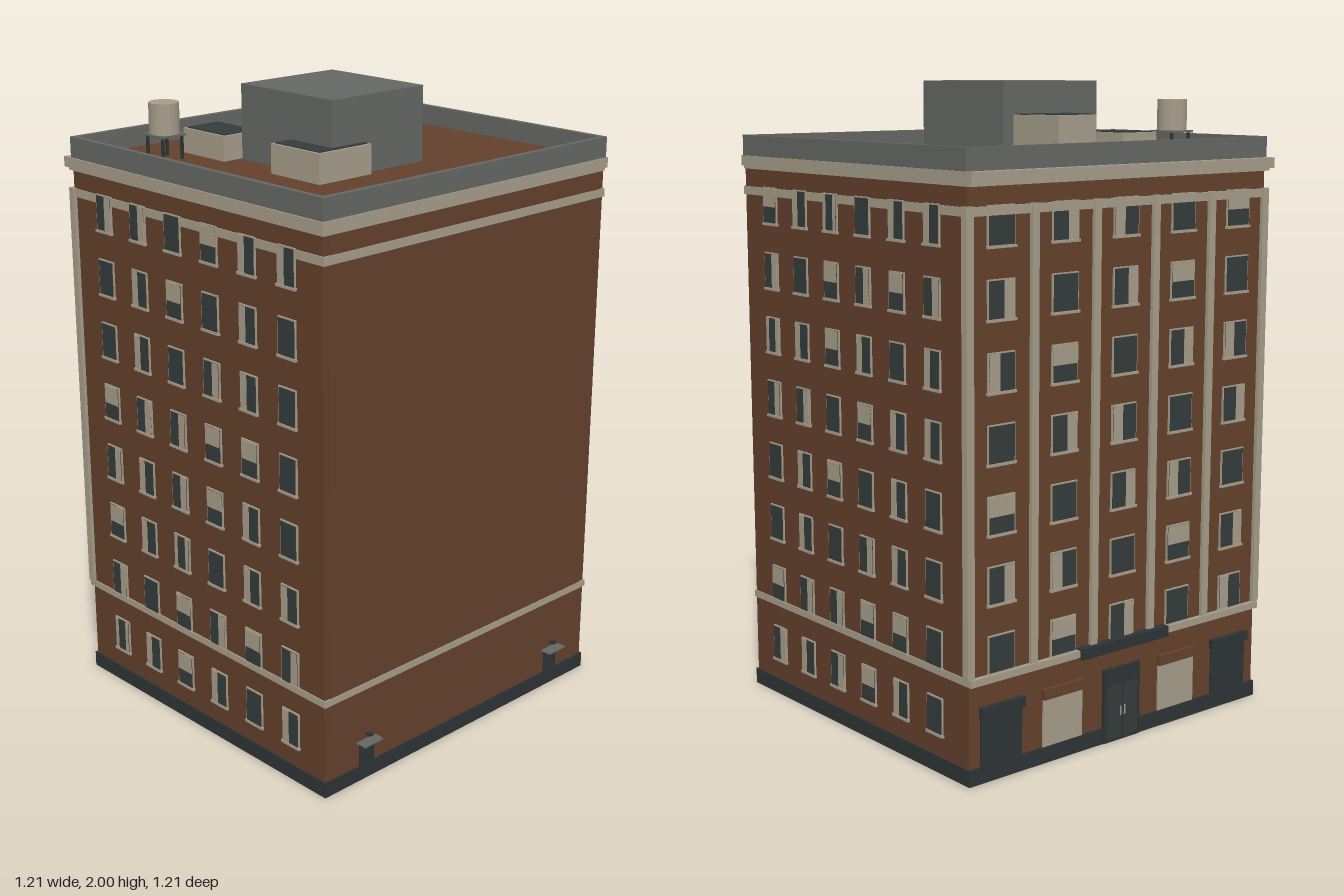
import * as THREE from 'three';

const mat = (name, color) => {
  const m = new THREE.MeshStandardMaterial({ color });
  m.name = name;
  return m;
};

export function createModel() {
  const brick = mat('brick', 0x63402b);
  const stone = mat('stone', 0xa59c89);
  const glass = mat('darkGlass', 0x343b3c);
  const grey = mat('roofGrey', 0x646764);
  const dark = mat('darkBase', 0x2d3435);

  const model = new THREE.Group();
  model.name = 'apartmentBlock';

  // box given by its min and max on each axis
  const box = (parent, name, m, x0, x1, y0, y1, z0, z1) => {
    const mesh = new THREE.Mesh(new THREE.BoxGeometry(x1 - x0, y1 - y0, z1 - z0), m);
    mesh.position.set((x0 + x1) / 2, (y0 + y1) / 2, (z0 + z1) / 2);
    mesh.name = name;
    parent.add(mesh);
    return mesh;
  };
  const group = (name, parent = model) => {
    const g = new THREE.Group();
    g.name = name;
    parent.add(g);
    return g;
  };

  // main mass
  const ROOF = 1.767;
  box(model, 'base', dark, -0.6, 0.6, 0, 0.05, -0.58, 0.57);
  box(model, 'walls', brick, -0.595, 0.595, 0.05, 1.75, -0.572, 0.563);
  box(model, 'frontWallPanel', brick, -0.575, 0.575, 0.05, 1.735, 0.56, 0.566);
  box(model, 'lowerBelt', stone, -0.599, 0.599, 0.302, 0.324, -0.588, 0.569);
  box(model, 'upperBelt', stone, -0.599, 0.599, 1.642, 1.668, -0.58, 0.569);
  box(model, 'cornice', stone, -0.605, 0.605, 1.733, 1.765, -0.605, 0.571);
  box(model, 'corniceBed', stone, -0.599, 0.599, 1.724, 1.733, -0.59, 0.567);
  box(model, 'roofDeck', brick, -0.59, 0.59, 1.76, ROOF, -0.565, 0.56);

  // parapet
  const parapet = group('parapet');
  for (const s of [-1, 1]) {
    const x = s * 0.591;
    box(parapet, 'parapetSide', grey, x - 0.009, x + 0.009, 1.765, 1.83, -0.575, 0.567);
  }
  box(parapet, 'parapetBack', grey, -0.582, 0.582, 1.765, 1.83, -0.575, -0.557);
  box(parapet, 'parapetFront', grey, -0.582, 0.582, 1.765, 1.83, 0.549, 0.567);

  // one window facing local +z, w = wall plane; kind tells which part the blind covers
  const addWindow = (parent, u, y, w, width, kind) => {
    const g = group('window', parent);
    const h = 0.116, a = width / 2, t = 0.004;
    box(g, 'frame', stone, u - a, u + a, y, y + h, w - 0.005, w + 0.005);
    box(g, 'sill', stone, u - a - 0.003, u + a + 0.003, y - 0.004, y + 0.004, w - 0.005, w + 0.009);
    box(g, 'pane', glass, u - a + t, u + a - t, y + 0.005, y + h - t, w, w + 0.007);
    const blind = (x0, x1, y0) => box(g, 'blind', stone, x0, x1, y0, y + h - t, w, w + 0.008);
    if (kind === 'T') blind(u - a + t, u + a - t, y + 0.055);
    if (kind === 'L' || kind === 'B') blind(u - a + t, u - a + width * (kind === 'B' ? 0.25 : 0.42), y + 0.005);
    if (kind === 'R' || kind === 'B') blind(u + a - width * (kind === 'B' ? 0.25 : 0.42), u + a - t, y + 0.005);
  };
  const rowY = (i) => 0.117 + 0.2054 * i;

  // side windows, rows from top to bottom
  const sideRows = ['TLBDLL', 'RDTRTR', 'BLTLDL', 'RRDTLL', 'DLTDLD', 'DLDRLD', 'TRRTTD', 'RLRTLD'];
  for (const s of [1, -1]) {
    const side = group(s > 0 ? 'leftWindows' : 'rightWindows');
    side.rotation.y = s * Math.PI / 2;
    sideRows.forEach((row, r) => {
      for (let c = 0; c < 6; c++) {
        const kind = s > 0 ? row[c] : sideRows[(r + 3) % 8][c];
        addWindow(side, -0.417 + c * 0.1668, rowY(7 - r), 0.595, 0.074, kind);
      }
    });
  }

  // back facade, built facing local +z and turned round
  const back = group('backFacade');
  back.rotation.y = Math.PI;
  const backRows = ['DRLDT', 'RDRTD', 'LTDRL', 'DRLDR', 'TDRLD', 'RLDTR', 'DTRDL'];
  backRows.forEach((row, r) => {
    for (let c = 0; c < 5; c++) addWindow(back, (c - 2) * 0.238, rowY(7 - r), 0.572, 0.1, row[c]);
  });
  for (let i = 0; i < 6; i++) {
    const x = (i - 2.5) * 0.2375;
    box(back, 'pilaster', stone, x - 0.013, x + 0.013, 0.324, 1.67, 0.56, 0.584);
  }
  // ground floor shops and entrance
  [dark, stone, null, stone, dark].forEach((m, i) => {
    const x = (i - 2) * 0.238;
    if (!m) return;
    box(back, 'shopFront', m, x - 0.078, x + 0.078, 0.05, 0.205, 0.56, 0.577);
    box(back, 'shutterBox', m === stone ? brick : dark, x - 0.082, x + 0.082, 0.2, 0.232, 0.56, 0.588);
  });
  box(back, 'entrance', dark, -0.075, 0.075, 0.0, 0.235, 0.56, 0.583);
  for (const s of [-1, 1]) {
    box(back, 'doorLeaf', glass, s * 0.034 - 0.029, s * 0.034 + 0.029, 0.01, 0.18, 0.58, 0.585);
    box(back, 'doorHandle', stone, s * 0.008 - 0.002, s * 0.008 + 0.002, 0.08, 0.11, 0.58, 0.588);
  }
  box(back, 'canopy', dark, -0.18, 0.18, 0.296, 0.33, 0.56, 0.6);

  // front service doors with hood and lamp
  for (const s of [-1, 1]) {
    const x = s * 0.428, g = group('serviceDoor');
    box(g, 'door', dark, x - 0.028, x + 0.028, 0.03, 0.13, 0.56, 0.573);
    box(g, 'hood', grey, x - 0.039, x + 0.039, 0.129, 0.134, 0.565, 0.603);
    box(g, 'lampArm', dark, x - 0.003, x + 0.003, 0.15, 0.155, 0.56, 0.59);
    box(g, 'lamp', dark, x - 0.008, x + 0.008, 0.152, 0.16, 0.575, 0.592);
  }

  // roof structures
  box(model, 'bulkhead', grey, -0.24, 0.14, 1.765, 2, -0.18, 0.22);
  const units = [
    [-0.305, -0.163, -0.385, -0.19, 1.845],
    [0.018, 0.165, -0.46, -0.328, 1.905],
    [-0.053, 0.102, -0.316, -0.16, 1.9],
    [-0.312, -0.102, 0.035, 0.245, 1.858],
  ];
  for (const [x0, x1, z0, z1, top] of units) {
    const g = group('roofUnit');
    box(g, 'unitBody', stone, x0, x1, 1.765, top, z0, z1);
    box(g, 'unitTop', glass, x0 + 0.009, x1 - 0.009, top - 0.002, top + 0.003, z0 + 0.009, z1 - 0.009);
  }

  // water tank on legs
  const tank = group('waterTank');
  tank.position.set(-0.408, 0, -0.348);
  box(tank, 'platform', grey, -0.047, 0.047, 1.84, 1.847, -0.047, 0.047);
  const drum = new THREE.Mesh(new THREE.CylinderGeometry(0.047, 0.047, 0.096, 20), stone);
  drum.position.y = 1.895;
  drum.name = 'drum';
  tank.add(drum);
  for (const sx of [-1, 1]) for (const sz of [-1, 1]) {
    const x = sx * 0.037, z = sz * 0.037;
    box(tank, 'leg', dark, x - 0.004, x + 0.004, 1.765, 1.84, z - 0.004, z + 0.004);
  }
  return model;
}
